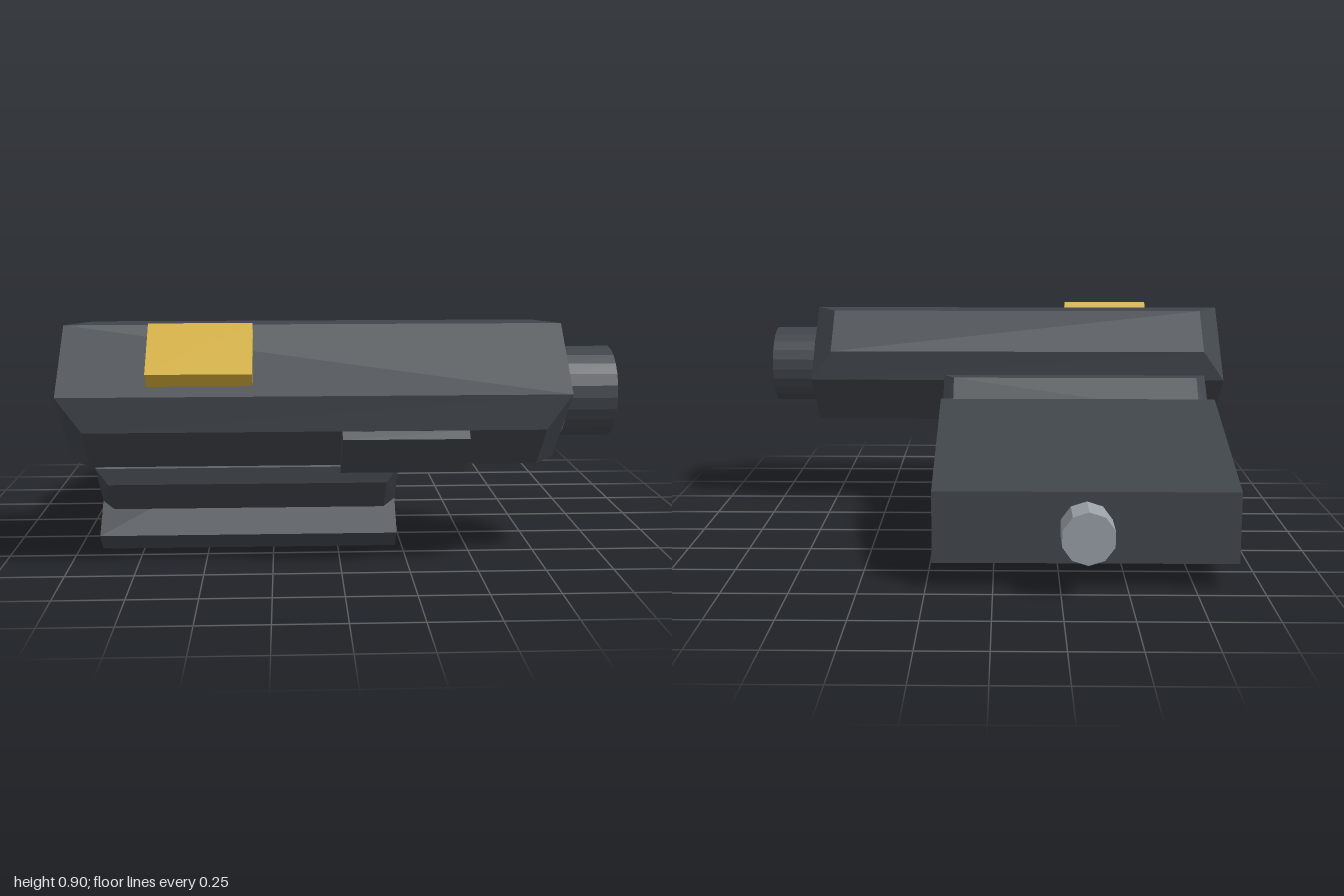
import * as THREE from 'three';
import { ConvexGeometry } from 'three/addons/geometries/ConvexGeometry.js';

const dark = new THREE.MeshStandardMaterial({ color: 0x40454b, flatShading: true, side: THREE.DoubleSide });
dark.name = 'gunmetal';
const gold = new THREE.MeshStandardMaterial({ color: 0xd4af37, flatShading: true });
gold.name = 'gold';
const steel = new THREE.MeshStandardMaterial({ color: 0x9aa1a8, flatShading: true });
steel.name = 'steel';
const red = new THREE.MeshStandardMaterial({ color: 0xcc3b57, flatShading: true });
red.name = 'lens red';

// Convex solid from [z, y] outlines, each spanning x0 + inset .. x1 - inset
function solid(name, material, x0, x1, outline, inner = [], inset = 0) {
  const points = [];
  const add = (list, d) => {
    for (const [z, y] of list) {
      points.push(new THREE.Vector3(x0 + d, y, z), new THREE.Vector3(x1 - d, y, z));
    }
  };
  add(outline, 0);
  add(inner, inset);
  const mesh = new THREE.Mesh(new ConvexGeometry(points), material);
  mesh.name = name;
  return mesh;
}

export function createModel() {
  const group = new THREE.Group();
  group.name = 'railSight';

  // Wedge-shaped clamp body
  group.add(solid('clampBody', dark, -0.91, 0.225, [
    [0.42, 0], [0.485, 0.07], [0.375, 0.18], [0.08, 0.47],
    [-0.025, 0.58], [-0.677, 0.37], [-0.69, 0.1],
  ]));

  // Dovetail rail, its flanks bevelled at both ends
  group.add(solid('rail', dark, -0.91, 0.225,
    [[0.533, 0.345], [0.25, 0.63], [0.08, 0.47], [0.375, 0.18]],
    [[0.183, 0.63], [0.052, 0.5], [0.533, 0.282], [0.402, 0.153]], 0.045));

  // Main housing, same bevelled section, larger
  group.add(solid('housing', dark, -1, 0.815,
    [[0.563, 0.887], [0.79, 0.66], [0.505, 0.375], [0.278, 0.602]],
    [[0.437, 0.887], [0.278, 0.728], [0.79, 0.534], [0.631, 0.375]], 0.09));

  // Button on the upper front face, plate on the lower front face
  group.add(solid('button', gold, -0.685, -0.315,
    [[0.648, 0.902], [0.808, 0.742], [0.758, 0.692], [0.598, 0.852]]));
  group.add(solid('sidePlate', dark, 0, 0.45,
    [[0.815, 0.508], [0.658, 0.352], [0.63, 0.38], [0.787, 0.536]]));

  // Lens tube with a recessed bore
  const profile = [[0.167, 0], [0.167, 0.185], [0.095, 0.185], [0.095, 0.115]]
    .map(([r, h]) => new THREE.Vector2(r, h));
  const tube = new THREE.Mesh(new THREE.LatheGeometry(profile, 24).rotateZ(-Math.PI / 2), dark);
  tube.name = 'lensTube';
  tube.position.set(0.815, 0.631, 0.534);
  const lens = new THREE.Mesh(new THREE.CircleGeometry(0.095, 24).rotateY(Math.PI / 2), red);
  lens.name = 'lens';
  lens.position.set(0.93, 0.631, 0.534);

  // Clamp screw at the back
  const screw = new THREE.Mesh(new THREE.CylinderGeometry(0.1, 0.1, 0.135, 10).rotateX(Math.PI / 2), steel);
  screw.name = 'clampScrew';
  screw.position.set(-0.344, 0.235, -0.7475);

  group.add(tube, lens, screw);
  return group;
}
